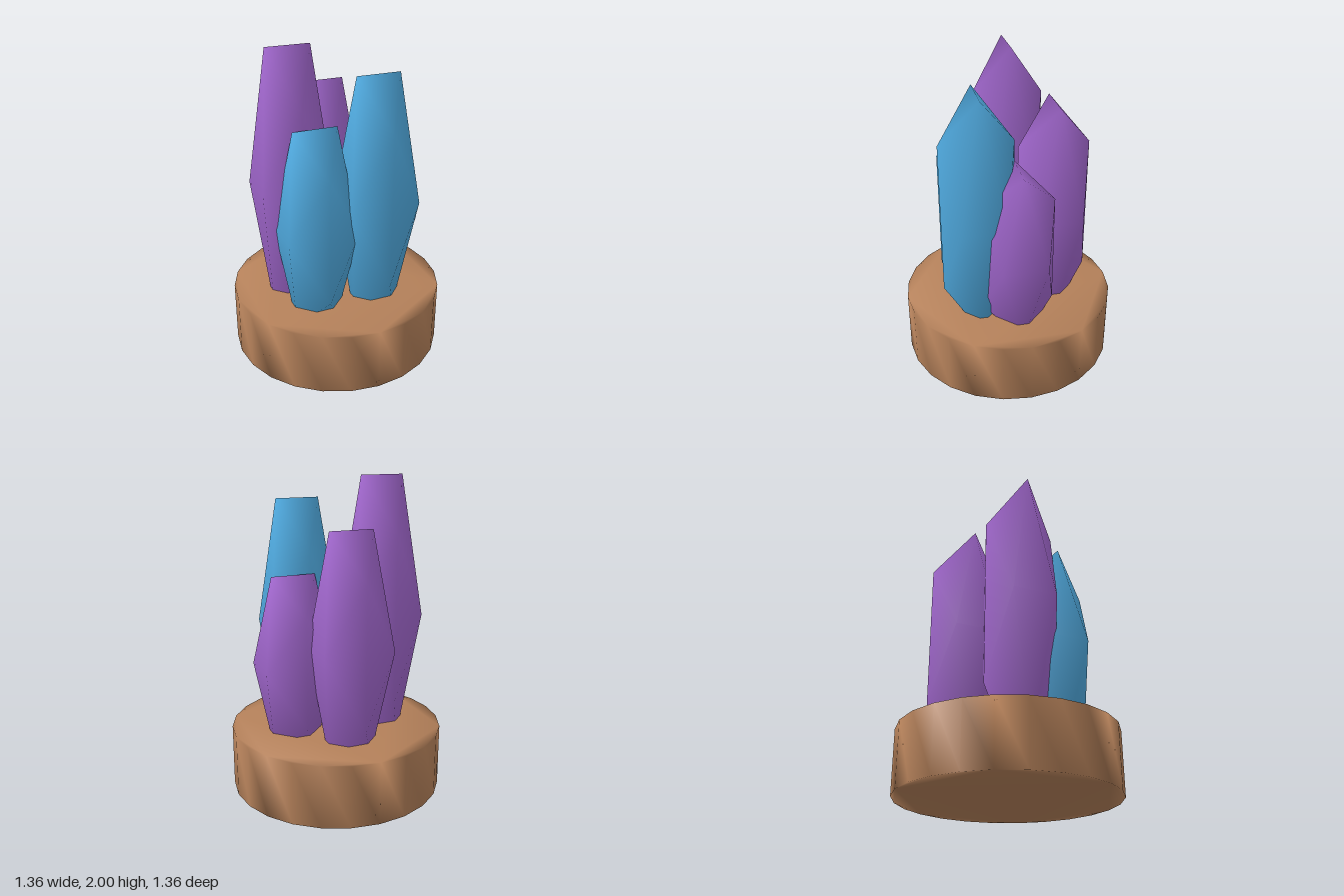
import * as THREE from 'three';
import { mergeVertices } from 'three/addons/utils/BufferGeometryUtils.js';

// Share vertices so shading runs smoothly over every edge
function smooth(geometry) {
  geometry.deleteAttribute('normal');
  geometry.deleteAttribute('uv');
  const merged = mergeVertices(geometry, 1e-4);
  merged.computeVertexNormals();
  return merged;
}

function material(name, color) {
  const m = new THREE.MeshStandardMaterial({ color });
  m.name = name;
  return m;
}

export function createModel() {
  const model = new THREE.Group();
  model.name = 'crystalCluster';
  const purple = material('purple crystal', 0xa066cc);
  const blue = material('blue crystal', 0x4fa9de);
  const brown = material('brown stone', 0xb5815a);

  // Round base: a 24-sided disc
  const outline = [];
  for (let i = 0; i < 24; i++) {
    const a = (i / 24) * Math.PI * 2;
    outline.push(new THREE.Vector2(0.681 * Math.cos(a), 0.681 * Math.sin(a)));
  }
  const disc = new THREE.ExtrudeGeometry(new THREE.Shape(outline), { depth: 0.4, bevelEnabled: false });
  disc.rotateX(-Math.PI / 2);
  const base = new THREE.Mesh(smooth(disc), brown);
  base.name = 'base';
  model.add(base);

  // Crystals: stretched icosahedra sunk into the base
  const radius = 0.269;
  const bottom = 0.25;
  const ridge = 0.8507; // height of the top ridge on a unit icosahedron
  const crystals = [
    ['rightShortCrystal', 0.285, 0, 1.405, purple],
    ['frontTallCrystal', 0.172, 0.228, 1.852, blue],
    ['frontShortCrystal', -0.213, 0.191, 1.556, blue],
    ['sideTallestCrystal', -0.284, -0.051, 2, purple],
    ['backCrystal', 0.022, -0.287, 1.703, purple],
  ];
  for (const [name, x, z, top, mat] of crystals) {
    const geometry = new THREE.IcosahedronGeometry(1, 0);
    geometry.scale(radius, (top - bottom) / 2 / ridge, radius);
    const crystal = new THREE.Mesh(smooth(geometry), mat);
    crystal.position.set(x, (top + bottom) / 2, z);
    crystal.name = name;
    model.add(crystal);
  }
  return model;
}
